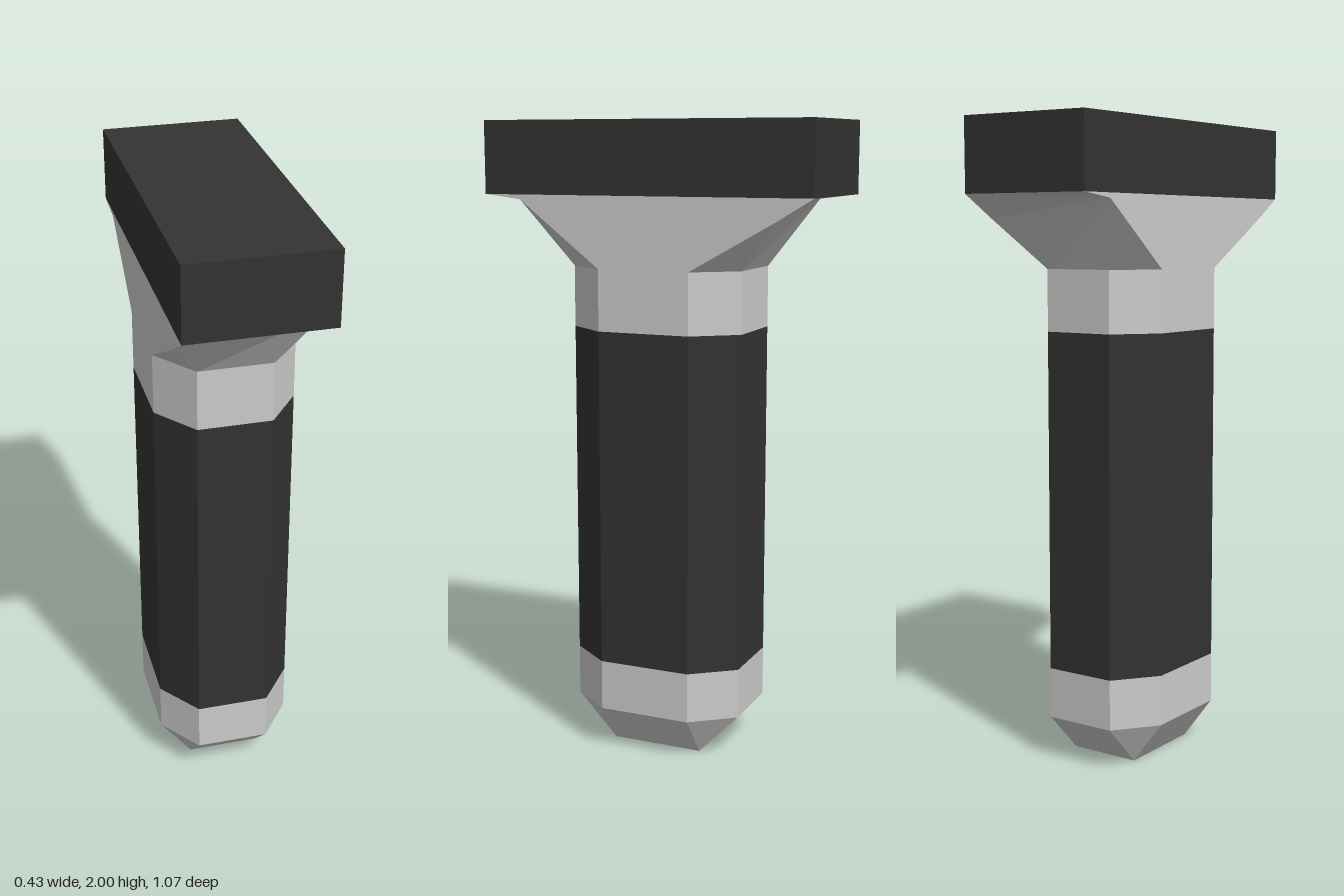
import * as THREE from 'three';

const grey = new THREE.MeshStandardMaterial({ color: 0xcccccc, flatShading: true });
const dark = new THREE.MeshStandardMaterial({ color: 0x333333, flatShading: true });

// Half sizes of the chamfered shaft and of its flats, and the neck heights
const W = 0.217, H = 0.281, FX = 0.115, FZ = 0.149;
const NECK = 1.554, HEAD = 1.775, HEAD_Z = 0.537;

// Eight-point rings, counter-clockwise from above
const octagon = (y) => [
  [W, y, FZ], [W, y, -FZ], [FX, y, -H], [-FX, y, -H],
  [-W, y, -FZ], [-W, y, FZ], [-FX, y, H], [FX, y, H],
];
// The same ring with each chamfer collapsed to a corner
const rectangle = (y) => octagon(y).map(([x, , z]) => [Math.sign(x) * FX, y, Math.sign(z) * FZ]);

// Builds a faceted mesh from polygons, each split as a fan from its first corner
function facets(name, polygons, material) {
  const positions = [];
  for (const p of polygons) {
    for (let i = 1; i < p.length - 1; i++) positions.push(...p[0], ...p[i], ...p[i + 1]);
  }
  const geometry = new THREE.BufferGeometry();
  geometry.setAttribute('position', new THREE.Float32BufferAttribute(positions, 3));
  geometry.computeVertexNormals();
  const mesh = new THREE.Mesh(geometry, material);
  mesh.name = name;
  return mesh;
}

// Walls between two rings
const walls = (lower, upper) => lower.map((a, i) => {
  const j = (i + 1) % lower.length;
  return [a, lower[j], upper[j], upper[i]];
});

// Half of the flared neck: its front and its +x side
function neckHalf() {
  const sideF = [W, NECK, FZ], sideB = [W, NECK, -FZ], sideL = [-W, NECK, FZ];
  const frontR = [FX, NECK, H], frontL = [-FX, NECK, H];
  const high = [W, 1.76, 0.415], low = [-W, 1.705, 0.42], lowBack = [W, 1.705, -0.42];
  const headR = [W, HEAD, HEAD_Z], headL = [-W, HEAD, HEAD_Z], headB = [W, HEAD, -HEAD_Z];
  return [
    [[W, HEAD, 0], headR, high, sideF, sideB, lowBack, headB],
    [frontL, frontR, high, low],
    [headL, low, high, headR],
    [frontR, sideF, high],
    [sideL, frontL, low],
  ];
}

export function createModel() {
  const group = new THREE.Group();
  group.name = 'handle';

  // Tapered foot with a flat base
  const base = rectangle(0);
  group.add(facets('foot', [
    ...walls(base, octagon(0.137)),
    [base[7], base[5], base[3], base[1]],
  ], grey));

  // Shaft bands
  const bands = [
    ['lowerCollar', 0.137, 0.297, grey],
    ['grip', 0.297, 1.363, dark],
    ['upperCollar', 1.363, NECK, grey],
  ];
  for (const [name, y0, y1, material] of bands) {
    group.add(facets(name, walls(octagon(y0), octagon(y1)), material));
  }

  // Neck, repeated by a half turn
  const half = neckHalf();
  const turned = half.map((p) => p.map(([x, y, z]) => [-x, y, -z]));
  group.add(facets('neck', [...half, ...turned], grey));

  // Head block
  const head = new THREE.Mesh(new THREE.BoxGeometry(2 * W, 2 - HEAD, 2 * HEAD_Z), dark);
  head.position.y = (2 + HEAD) / 2;
  head.name = 'head';
  group.add(head);

  return group;
}
